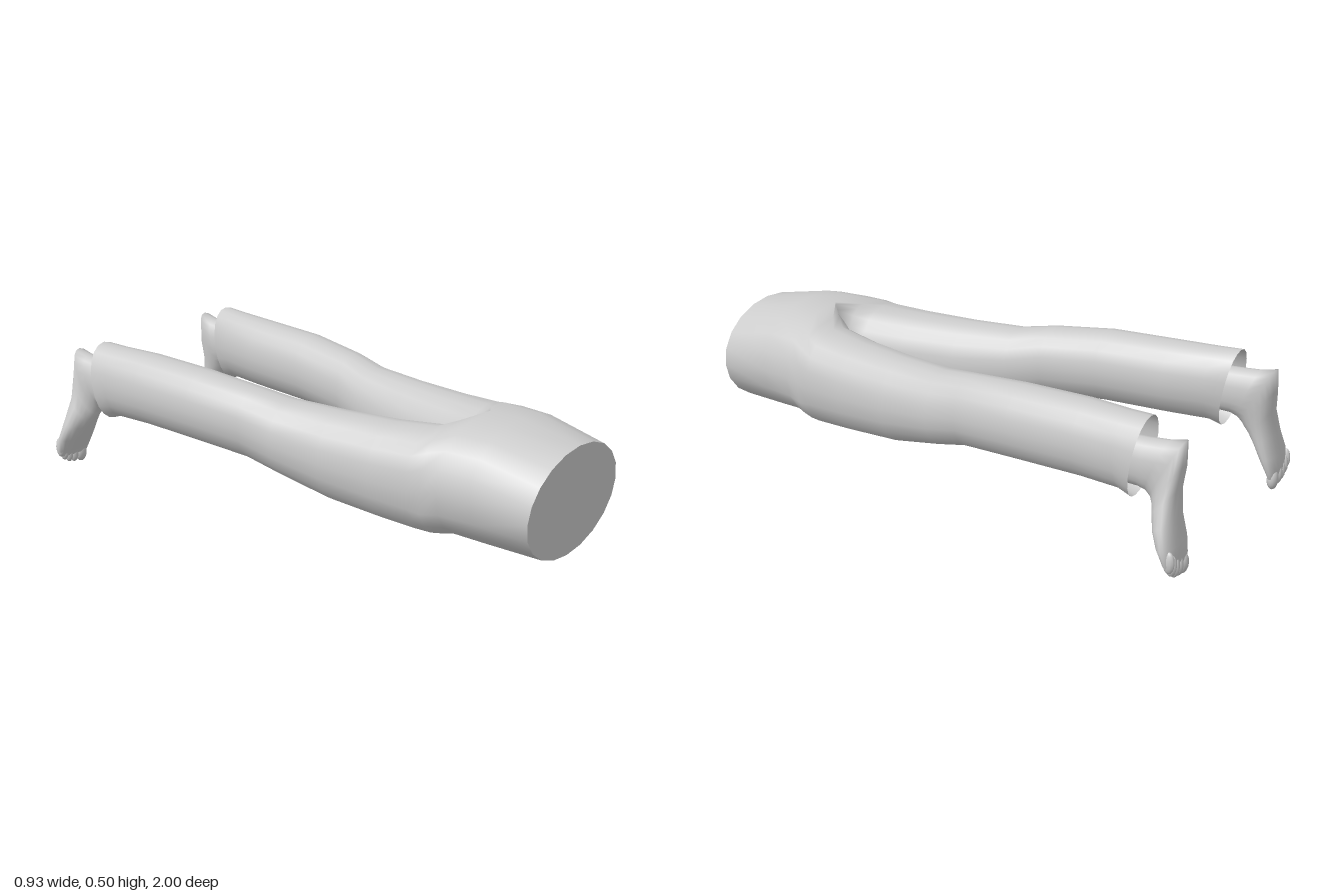
import * as THREE from 'three';

const material = new THREE.MeshStandardMaterial({ color: 0xcccccc, side: THREE.DoubleSide });
const SIDES = 20;

// Joins closed rings of points into a skin; caps are separate so their edges stay sharp.
function loft(rings, capStart, capEnd) {
  const n = rings[0].length;
  const pos = rings.flat().flatMap((p) => p.toArray());
  const index = [];
  for (let i = 0; i < rings.length - 1; i++) {
    for (let j = 0; j < n; j++) {
      const k = (j + 1) % n;
      const a = i * n + j, b = i * n + k;
      index.push(a, a + n, b, b, a + n, b + n);
    }
  }
  const cap = (ring, flip) => {
    const base = pos.length / 3;
    const mid = ring.reduce((s, p) => s.add(p), new THREE.Vector3()).divideScalar(n);
    pos.push(...mid.toArray(), ...ring.flatMap((p) => p.toArray()));
    for (let j = 0; j < n; j++) {
      const a = base + 1 + j, b = base + 1 + ((j + 1) % n);
      index.push(base, flip ? b : a, flip ? a : b);
    }
  };
  if (capStart) cap(rings[0], false);
  if (capEnd) cap(rings[rings.length - 1], true);
  const geometry = new THREE.BufferGeometry();
  geometry.setAttribute('position', new THREE.Float32BufferAttribute(pos, 3));
  geometry.setIndex(index);
  geometry.computeVertexNormals();
  return geometry;
}

// Rounded unit outline; a higher power is boxier.
function outline(power) {
  const bend = (v) => Math.sign(v) * Math.abs(v) ** (2 / power);
  return Array.from({ length: SIDES }, (_, j) => {
    const t = (j / SIDES) * Math.PI * 2;
    const c = Math.cos(t), s = Math.sin(t);
    return [Math.abs(c) < 1e-6 ? 0 : bend(c), Math.abs(s) < 1e-6 ? 0 : bend(s)];
  });
}

// Half of the trousers: half a pelvis that becomes one leg.
function trouserHalf() {
  // z, inner x, middle x, outer x, top y, bottom y, power, slant
  const rows = [
    [0.985, 0, 0, 0.268, 0.422, 0.04, 2, 0.07],
    [0.78, 0, 0, 0.28, 0.466, 0.05, 2.3, 0],
    [0.66, 0, 0, 0.296, 0.465, 0.06, 2.4, 0],
    [0.6, 0, 0.09, 0.306, 0.442, 0.066, 2.6, 0],
    [0.55, 0.006, 0.15, 0.314, 0.427, 0.073, 2.3, 0],
    [0.4, 0.04, 0.18, 0.324, 0.42, 0.085, 2.2, 0],
    [0.2, 0.082, 0.21, 0.338, 0.42, 0.107, 2.1, 0],
    [0, 0.125, 0.238, 0.354, 0.426, 0.155, 2.1, 0],
    [-0.13, 0.163, 0.267, 0.372, 0.449, 0.195, 2.1, 0],
    [-0.35, 0.185, 0.292, 0.4, 0.475, 0.215, 2.1, 0],
    [-0.6, 0.198, 0.302, 0.406, 0.487, 0.225, 2.1, 0],
    [-0.75, 0.225, 0.318, 0.411, 0.491, 0.228, 2.1, 0],
    [-0.815, 0.238, 0.325, 0.413, 0.496, 0.212, 2.1, -0.15],
  ];
  const rings = rows.map(([z, inner, mid, outer, top, bottom, power, slant]) => {
    const cy = (top + bottom) / 2, ry = (top - bottom) / 2;
    return outline(power).map(([u, v]) => new THREE.Vector3(
      mid + u * (u > 0 ? outer - mid : mid - inner), cy + v * ry, z + slant * v * ry));
  });
  const geometry = loft(rings, true, false);
  // Normals on the centre line stay in the plane of symmetry so the halves blend.
  const p = geometry.attributes.position, nrm = geometry.attributes.normal;
  const v = new THREE.Vector3();
  for (let i = 0; i < p.count; i++) {
    if (Math.abs(p.getX(i)) > 1e-5) continue;
    v.set(0, nrm.getY(i), nrm.getZ(i));
    if (v.lengthSq() < 1e-6) v.set(0, 0, -1);
    v.normalize();
    nrm.setXYZ(i, v.x, v.y, v.z);
  }
  return geometry;
}

// Bare foot hanging down, sole to the back.
function footGeometry() {
  // sole z, sole y, instep z, instep y, inner x, outer x
  const rows = [
    [-0.74, 0.42, -0.74, 0.26, 0.285, 0.385],
    [-0.84, 0.427, -0.815, 0.26, 0.281, 0.39],
    [-0.91, 0.435, -0.84, 0.252, 0.28, 0.388],
    [-0.965, 0.45, -0.857, 0.235, 0.283, 0.388],
    [-0.968, 0.37, -0.868, 0.215, 0.288, 0.396],
    [-0.96, 0.29, -0.88, 0.195, 0.296, 0.415],
    [-0.97, 0.2, -0.898, 0.162, 0.3, 0.446],
    [-0.987, 0.125, -0.925, 0.115, 0.3, 0.464],
    [-0.993, 0.07, -0.95, 0.07, 0.31, 0.458],
    [-0.99, 0.045, -0.962, 0.045, 0.32, 0.442],
  ];
  const rings = rows.map(([za, ya, zb, yb, inner, outer]) => outline(2.2).map(([u, v]) =>
    new THREE.Vector3(
      (inner + outer) / 2 + (u * (outer - inner)) / 2,
      (ya + yb) / 2 + (v * (ya - yb)) / 2,
      (za + zb) / 2 + (v * (za - zb)) / 2)));
  return loft(rings, true, true);
}

// One side of the model: trouser half, foot and toes.
function createSide(side) {
  const group = new THREE.Group();
  group.name = side + 'Side';
  const add = (name, geometry) => {
    const mesh = new THREE.Mesh(geometry, material);
    mesh.name = side + name;
    group.add(mesh);
    return mesh;
  };
  add('TrouserLeg', trouserHalf());
  add('Foot', footGeometry());

  // Toes from big to little: x, lowest y, half width
  const toes = [
    [0.345, 0.001, 0.024], [0.38, 0.008, 0.016], [0.405, 0.014, 0.015],
    [0.426, 0.027, 0.014], [0.443, 0.044, 0.013],
  ];
  toes.forEach(([x, low, r], i) => {
    const toe = add('Toe' + (i + 1), new THREE.SphereGeometry(1, 12, 8));
    toe.scale.set(r, 0.038, 0.02);
    toe.position.set(x, low + 0.038, -0.979);
  });
  return group;
}

export function createModel() {
  const model = new THREE.Group();
  model.name = 'trouserLegs';
  const left = createSide('left');
  const right = createSide('right');
  right.scale.x = -1;
  model.add(left, right);
  return model;
}
